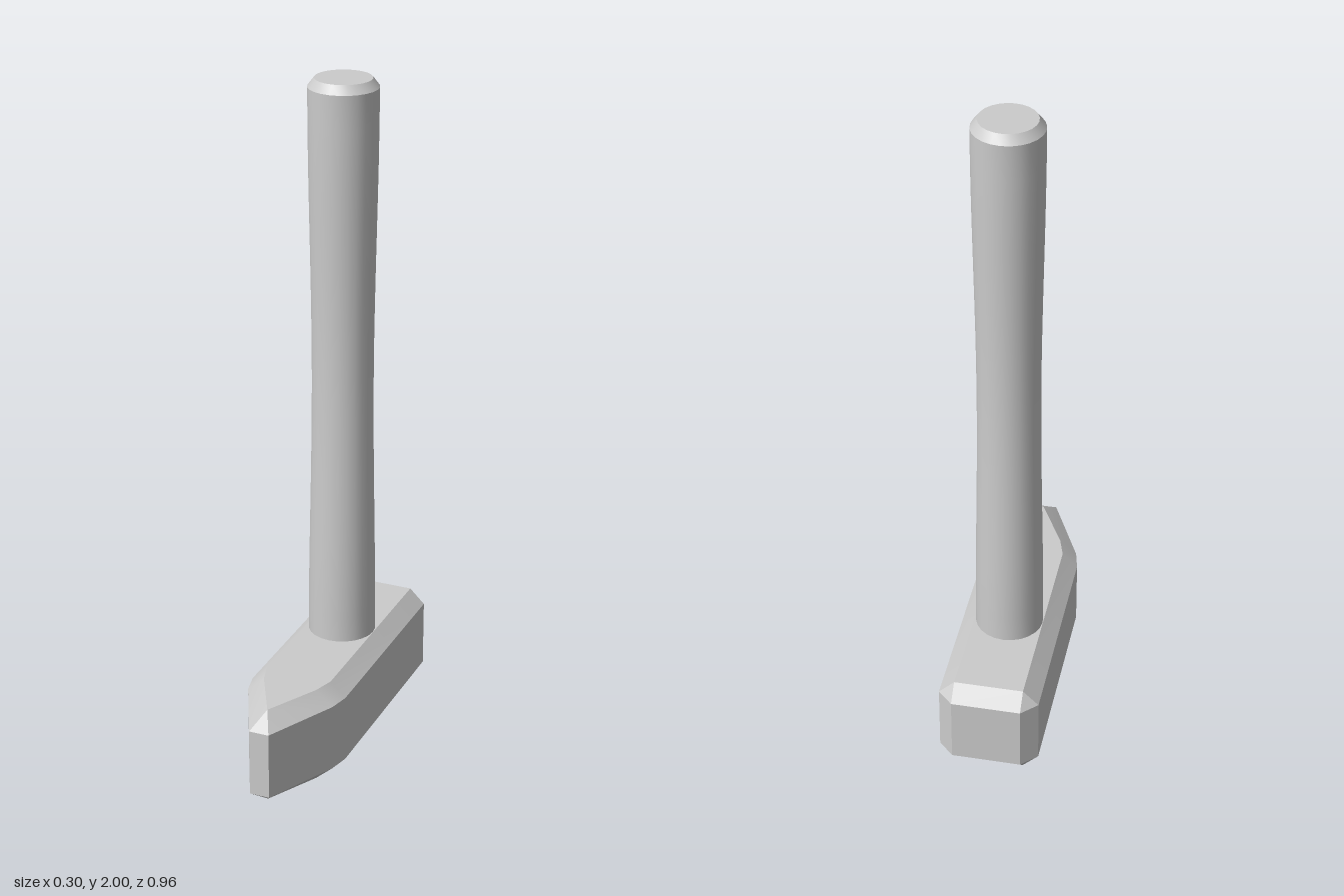
import * as THREE from 'three';
import { toCreasedNormals } from 'three/addons/utils/BufferGeometryUtils.js';

const material = new THREE.MeshStandardMaterial({ color: 0xcccccc });
const HEIGHT = 0.295, BEVEL = 0.045, HANDLE_Z = -0.126;

// Eight-sided ring: w = half width of the sides, a = half width of the flat top and bottom
function ring({ w, zw, a, za, inset = 0 }) {
  const low = BEVEL, high = HEIGHT - BEVEL, top = HEIGHT - inset;
  return [
    [a, inset, za], [w, low, zw], [w, high, zw], [a, top, za],
    [-a, top, za], [-w, high, zw], [-w, low, zw], [-a, inset, za],
  ];
}

// Bevelled block with a square striking face at the back and a wedge at the front
function headGeometry() {
  const rings = [
    { w: 0.102, zw: -0.48, a: 0.102, za: -0.48, inset: BEVEL },
    { w: 0.148, zw: -0.435, a: 0.102, za: -0.435 },
    { w: 0.148, zw: 0.2, a: 0.102, za: 0.2 },
    { w: 0.134, zw: 0.262, a: 0.083, za: 0.262 },
    { w: 0.03, zw: 0.48, a: 0, za: 0.42 },
  ].map(ring);

  const index = [];
  for (let r = 0; r < rings.length - 1; r++) {
    for (let i = 0; i < 8; i++) {
      const a = r * 8 + i, b = r * 8 + (i + 1) % 8;
      index.push(a, b, b + 8, a, b + 8, a + 8);
    }
  }
  // Striking face, then the wedge tip with its two sloping triangles
  index.push(1, 5, 2, 1, 6, 5);
  const tip = (rings.length - 1) * 8;
  index.push(...[1, 2, 5, 1, 5, 6, 2, 3, 5, 6, 7, 1].map((i) => tip + i));

  const geometry = new THREE.BufferGeometry();
  geometry.setAttribute('position', new THREE.Float32BufferAttribute(rings.flat(2), 3));
  geometry.setIndex(index);
  return toCreasedNormals(geometry, 0.5);
}

// Round handle with a chamfered end and a slightly oval waist
function handleGeometry() {
  const bottom = 0.27, shoulder = 1.975, steps = 16;
  const profile = [new THREE.Vector2(0, bottom)];
  for (let i = 0; i <= steps; i++) {
    profile.push(new THREE.Vector2(0.101, bottom + (shoulder - bottom) * i / steps));
  }
  profile.push(new THREE.Vector2(0.082, 2), new THREE.Vector2(0, 2));

  const geometry = new THREE.LatheGeometry(profile, 24);
  const p = geometry.attributes.position;
  for (let i = 0; i < p.count; i++) {
    const t = THREE.MathUtils.clamp((p.getY(i) - bottom) / (shoulder - bottom), 0, 1);
    const waist = Math.sin(Math.PI * t) ** 2;
    p.setX(i, p.getX(i) * (1 - 0.1 * waist));
    p.setZ(i, p.getZ(i) * (1 - 0.14 * waist));
  }
  return toCreasedNormals(geometry, 0.5);
}

export function createModel() {
  const model = new THREE.Group();
  model.name = 'hammer';

  const head = new THREE.Mesh(headGeometry(), material);
  head.name = 'head';

  const handle = new THREE.Mesh(handleGeometry(), material);
  handle.name = 'handle';
  handle.position.z = HANDLE_Z;

  model.add(head, handle);
  return model;
}
